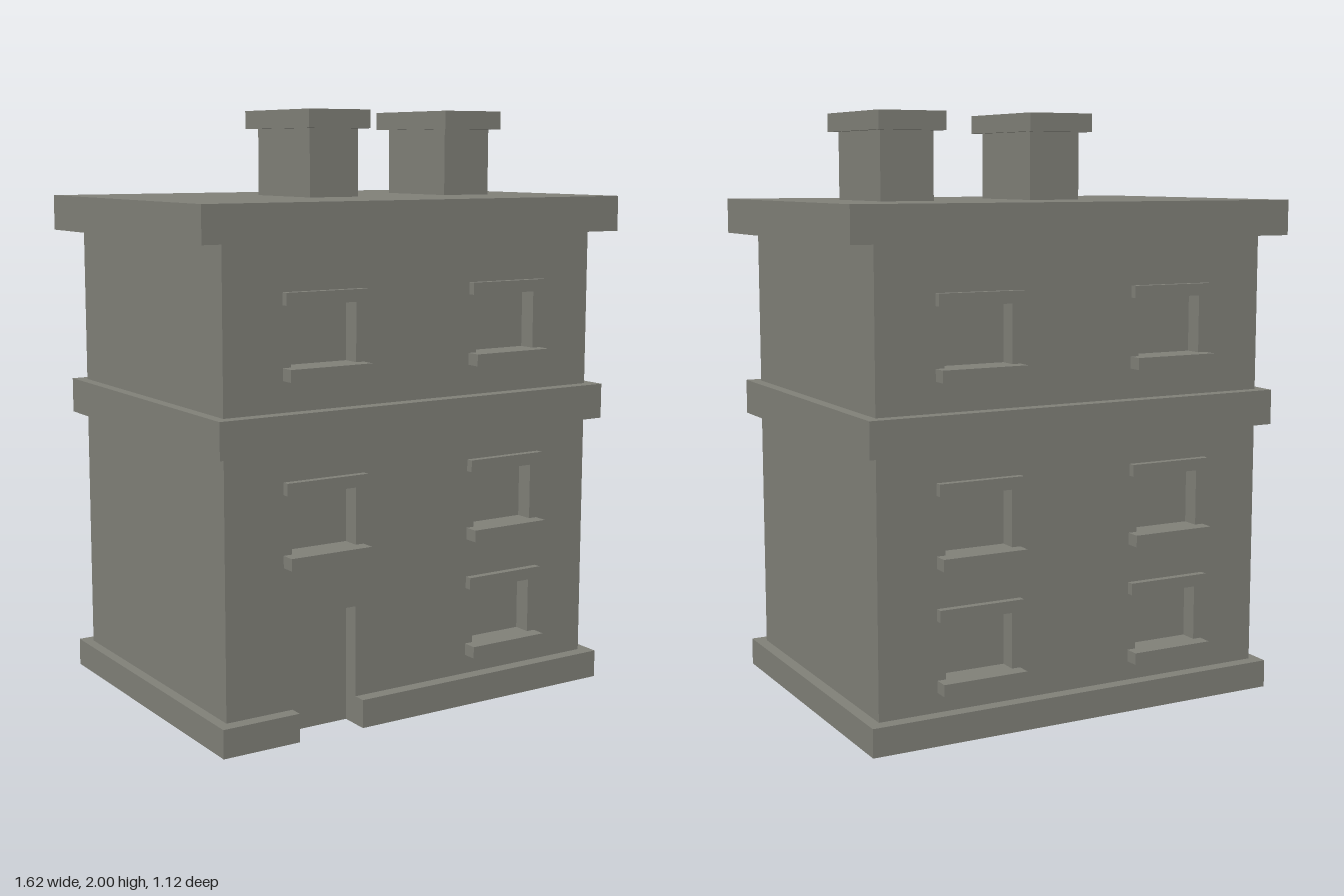
import * as THREE from 'three';

export function createModel() {
  const model = new THREE.Group();
  model.name = 'townHouse';
  const stone = new THREE.MeshStandardMaterial({ color: 0x7f7f77 });
  stone.name = 'grey stone';

  const add = (name, geometry, parent = model) => {
    const mesh = new THREE.Mesh(geometry, stone);
    mesh.name = name;
    parent.add(mesh);
    return mesh;
  };
  // Box given by its limits on each axis
  const box = (name, [x0, x1], [y0, y1], [z0, z1], parent) => {
    const mesh = add(name, new THREE.BoxGeometry(x1 - x0, y1 - y0, z1 - z0), parent);
    mesh.position.set((x0 + x1) / 2, (y0 + y1) / 2, (z0 + z1) / 2);
    return mesh;
  };

  const bodyX = [-0.72, 0.71], baseTop = 0.095, bodyTop = 1.6;
  const wall = 0.51, recess = 0.45;
  const doorX = [-0.48, -0.24], doorTop = 0.4;
  const columns = [[-0.48, -0.24], [0.235, 0.475]];
  const rows = [0.16, 0.565, 1.16]; // underside of each sill

  // Body core, its faces are the window panes
  box('bodyCore', bodyX, [baseTop, bodyTop], [-recess, recess]);

  // Front and back walls with window openings, sills and lintels
  for (const side of [1, -1]) {
    const front = side > 0;
    const label = front ? 'front' : 'back';
    const facade = new THREE.Group();
    facade.name = label + 'Facade';
    model.add(facade);

    const outline = [[bodyX[0], baseTop]];
    if (front) {
      outline.push([doorX[0], baseTop], [doorX[0], doorTop], [doorX[1], doorTop], [doorX[1], baseTop]);
    }
    outline.push([bodyX[1], baseTop], [bodyX[1], bodyTop], [bodyX[0], bodyTop]);
    const shape = new THREE.Shape(outline.map(([x, y]) => new THREE.Vector2(x, y)));

    const span = (a, b) => (front ? [a, b] : [-b, -a]);
    columns.forEach(([x0, x1], c) => rows.forEach((y, r) => {
      if (front && c === 0 && r === 0) return; // the door stands here
      const y0 = y + 0.04, y1 = y + 0.235;
      shape.holes.push(new THREE.Path([[x0, y0], [x0, y1], [x1, y1], [x1, y0]]
        .map(([px, py]) => new THREE.Vector2(px, py))));
      const ledge = [x0 - 0.03, x1 + 0.03];
      box('windowSill', ledge, [y, y0], span(wall - 0.005, 0.56), facade);
      box('windowLintel', ledge, [y1, y1 + 0.04], span(wall - 0.005, 0.535), facade);
    }));

    const depth = wall - recess;
    const wallMesh = add(label + 'Wall', new THREE.ExtrudeGeometry(shape, { depth, bevelEnabled: false }), facade);
    wallMesh.position.z = front ? recess : -wall;
  }

  // Door panel down to the ground
  box('door', doorX, [0, doorTop], [recess - 0.01, recess + 0.002]);

  // Hollow plinth, open at the door, with two ribs underneath
  const base = [0, baseTop], outer = 0.555;
  const plinth = new THREE.Group();
  plinth.name = 'plinth';
  model.add(plinth);
  box('plinthBack', [-0.755, 0.75], base, [-outer, -wall], plinth);
  box('plinthFrontRight', [-0.755, doorX[0]], base, [wall, outer], plinth);
  box('plinthFrontLeft', [doorX[1], 0.75], base, [wall, outer], plinth);
  box('plinthRight', [-0.755, -0.71], base, [-wall, wall], plinth);
  box('plinthLeft', [0.705, 0.75], base, [-wall, wall], plinth);
  box('plinthRib', [doorX[0] - 0.02, doorX[0]], base, [-wall, wall], plinth);
  box('plinthRib', [doorX[1], doorX[1] + 0.02], base, [-wall, wall], plinth);

  // Belt course and roof slab
  box('beltCourse', [-0.757, 0.75], [0.94, 1.06], [-outer, outer]);
  box('roofSlab', [-0.81, 0.805], [1.59, 1.71], [-0.557, 0.555]);

  // Chimneys with caps
  for (const x of [-0.2, 0.35]) {
    const chimney = new THREE.Group();
    chimney.name = 'chimney';
    model.add(chimney);
    box('chimneyStack', [x, x + 0.19], [1.7, 1.94], [-0.182, 0.163], chimney);
    box('chimneyCap', [x - 0.027, x + 0.213], [1.938, 2], [-0.225, 0.203], chimney);
  }
  return model;
}
